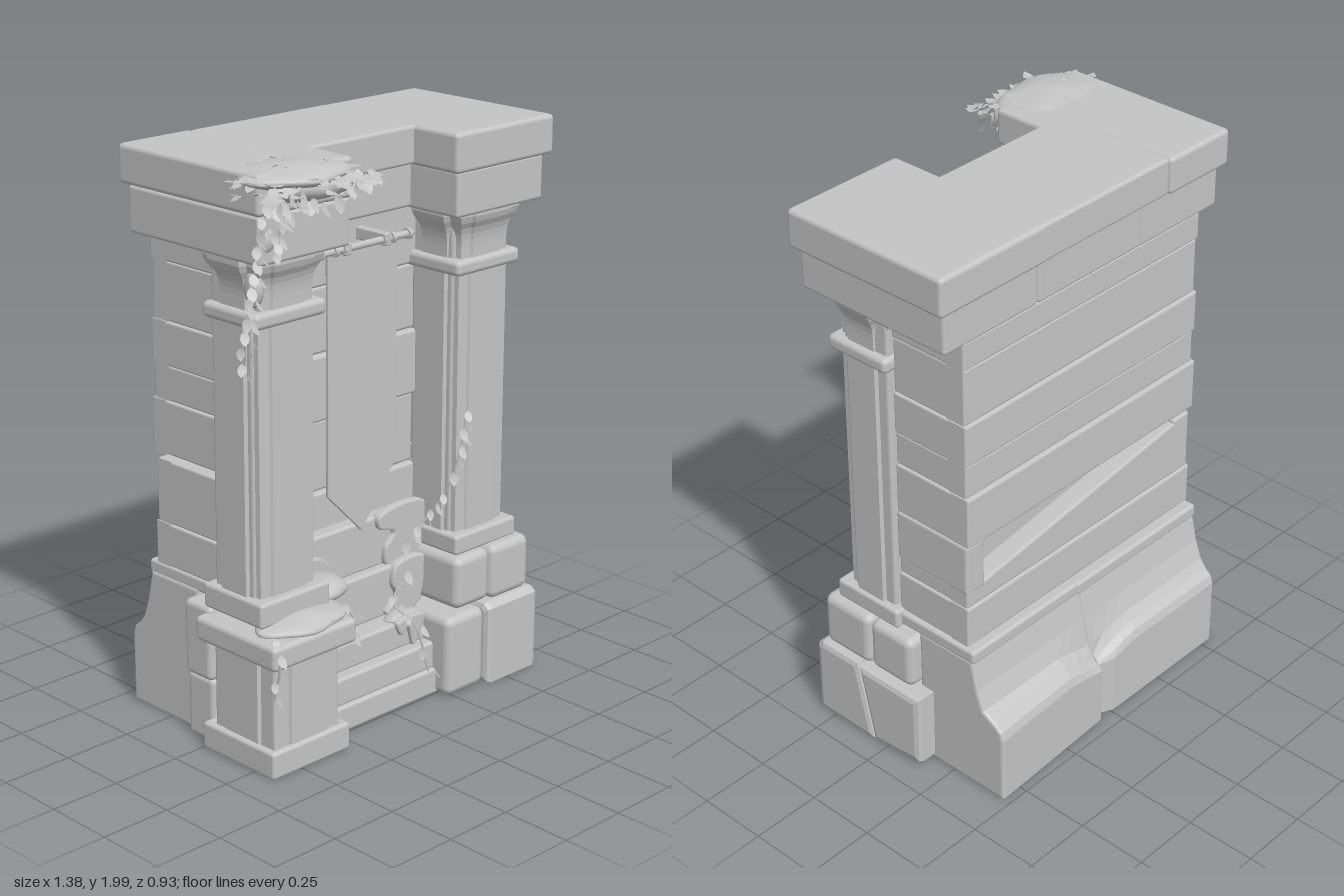
import * as THREE from 'three';
import { mergeGeometries } from 'three/addons/utils/BufferGeometryUtils.js';
import { RoundedBoxGeometry } from 'three/addons/geometries/RoundedBoxGeometry.js';

const stone = new THREE.MeshStandardMaterial({ color: 0xc4c4c4, side: THREE.DoubleSide });
stone.name = 'greyStone';

let seed = 7;
const rand = (a = 0, b = 1) => {
  seed = (seed * 16807) % 2147483647;
  return a + (b - a) * (seed / 2147483647);
};

export function createModel() {
  const root = new THREE.Group();
  root.name = 'ruinedShrine';

  const add = (name, geo) => {
    const m = new THREE.Mesh(geo, stone);
    m.name = name;
    root.add(m);
    return m;
  };
  // Rounded block given by its limits on each axis
  const block = (name, x0, x1, y0, y1, z0, z1, r = 0.012) => {
    const g = new RoundedBoxGeometry(x1 - x0, y1 - y0, z1 - z0, 3, r);
    return add(name, g.translate((x0 + x1) / 2, (y0 + y1) / 2, (z0 + z1) / 2));
  };
  // Bevelled extrusion of an outline; the bevel stays inside the outline
  const extrude = (pts, depth, b = 0.008, steps = 1) => {
    const shape = new THREE.Shape(pts.map(p => new THREE.Vector2(...p)));
    const g = new THREE.ExtrudeGeometry(shape, {
      depth: depth - 2 * b, steps, bevelEnabled: b > 0, bevelSize: b, bevelOffset: -b, bevelThickness: b, bevelSegments: 2,
    });
    return g.translate(0, 0, b);
  };
  // Move every vertex of a geometry by a rule on its position
  const bend = (g, rule) => {
    const p = g.attributes.position, v = new THREE.Vector3();
    for (let i = 0; i < p.count; i++) {
      rule(v.fromBufferAttribute(p, i));
      p.setXYZ(i, v.x, v.y, v.z);
    }
    g.computeVertexNormals();
    return g;
  };

  // Cornice: upper and lower courses, recessed in the middle
  block('corniceTopLeft', -0.64, -0.345, 1.85, 1.98, -0.345, 0.31, 0.016);
  block('corniceTopLeftFront', -0.36, -0.24, 1.85, 1.98, 0.05, 0.31, 0.016);
  block('corniceTopMiddle', -0.35, 0.25, 1.85, 1.98, -0.335, 0.12);
  block('corniceTopRight', 0.22, 0.69, 1.845, 1.98, -0.335, 0.315, 0.016);
  block('corniceLowerLeft', -0.63, -0.245, 1.695, 1.85, -0.31, 0.3);
  block('corniceLowerMiddle', -0.25, 0.245, 1.7, 1.852, -0.315, 0.09);
  block('corniceLowerRight', 0.24, 0.655, 1.695, 1.85, -0.31, 0.3);

  // Back wall courses: lower y, upper y at the left end, upper y at the right end;
  // the second one is broken to a slope, which leaves a wedge-shaped gap
  const courses = [
    [0.55, 0.70, 0.70], [0.70, 0.76, 0.92], [0.945, 1.13, 1.13], [1.13, 1.25, 1.25],
    [1.25, 1.40, 1.40], [1.40, 1.6, 1.6], [1.6, 1.7, 1.7],
  ];
  courses.forEach(([y, topL, topR], i) => {
    const out = [0.31, 0.304, 0.316, 0.304, 0.31, 0.302, 0.306][i];
    const xl = 0.57 - (i % 2) * 0.005, xr = -0.55 + (i % 2) * 0.005;
    add('backPlank', extrude([[xr, y], [xl, y], [xl, topL], [xr, topR]], 0.08).translate(0, 0, -out));
    block('wallSideLeft', xl - 0.08, xl, y, topL, -out, 0, 0.008);
    block('wallSideRight', xr, xr + 0.08, y, topR, -out, 0, 0.008);
  });
  block('gapStone', 0.49, 0.575, 0.76, 0.95, -0.312, 0);

  // Front wall stones in the niche
  [0.62, 0.77, 1.02, 1.25, 1.48, 1.7].forEach((y, i, ys) => {
    if (i) block('nicheStone', -0.34, 0.34, ys[i - 1], y, -0.1, [0, 0.025, 0.01, 0.03, 0.015, 0.025][i]);
  });

  // Sloping back base in two halves, worn down where they meet, with a ledge above
  const clamp01 = t => THREE.MathUtils.clamp(t, 0, 1);
  const base = (x0, x1, z) => add('backBase', bend(extrude([
    [-0.1, 0], [z, 0], [z, 0.25], [z + 0.01, 0.28], [z + 0.035, 0.3], [-0.385, 0.33], [-0.36, 0.4], [-0.335, 0.51], [-0.1, 0.51],
  ], x1 - x0, 0.01, 10).rotateY(-Math.PI / 2).translate(x1, 0, 0), v => {
    const worn = clamp01(1 - Math.abs(v.x - 0.05) / 0.16) * clamp01(1 - Math.abs(v.y - 0.29) / 0.1);
    const outer = clamp01((-0.385 - v.z) / 0.04);
    if (v.x > 0.045) v.z += (0.585 - v.x) * 0.05 * outer;
    if (v.z < -0.3) v.y -= 0.06 * worn;
  }));
  base(-0.555, 0.055, -0.443);
  base(0.05, 0.585, -0.473);
  block('backLedge', -0.55, 0.08, 0.5, 0.55, -0.35, 0);
  block('backLedge', 0.07, 0.585, 0.5, 0.55, -0.345, 0);

  // Front steps, hollow behind
  block('lowerStep', -0.3, 0.24, 0, 0.095, 0.14, 0.25);
  block('lowerStep', -0.3, 0.24, 0.09, 0.19, 0.12, 0.235);
  block('middleStep', -0.31, 0.3, 0.185, 0.285, 0.07, 0.19);
  block('upperStep', -0.31, 0.3, 0.28, 0.46, 0.01, 0.11);
  block('sill', -0.32, 0.32, 0.455, 0.64, -0.05, 0.075);

  // Columns: chamfered plan with raised front panel, rings and flared capital
  const plan = (w, d) => {
    const q = [[w, d * 0.5], [w * 0.86, d * 0.56], [w * 0.84, d * 0.9], [w * 0.54, d * 0.93], [w * 0.5, d]];
    const top = [...q, ...q.map(([x, y]) => [-x, y]).reverse()];
    return [...top, ...top.map(([x, y]) => [-x, -y])];
  };
  const upright = (name, x, z, w, d, y0, y1, steps = 1) =>
    add(name, extrude(plan(w, d), y1 - y0, steps > 1 ? 0 : 0.004, steps).rotateX(-Math.PI / 2).translate(x, y0, z));
  for (const x of [-0.447, 0.455]) {
    upright('columnShaft', x, 0.115, 0.138, 0.115, 0.55, 1.48);
    block('columnCore', x - 0.125, x + 0.125, 0.55, 1.69, 0.01, 0.2);
    block('columnBase', x - 0.152, x + 0.152, 0.49, x < 0 ? 0.575 : 0.56, -0.02, 0.26);
    block('columnRing', x - 0.153, x + 0.153, 1.475, 1.528, -0.005, 0.25, 0.018);
    const cap = upright('capital', 0, 0, 0.14, 0.12, 0, 0.17, 8);
    bend(cap.geometry, v => {
      const s = 0.94 + 0.26 * Math.pow(Math.min(1, v.y / 0.136), 4);
      v.x *= s;
      v.z *= s;
    });
    cap.position.set(x, 1.526, 0.12);
  }

  // Left pedestal on a foot that is open underneath
  block('pedestalFoot', -0.63, -0.285, 0, 0.095, 0.315, 0.345);
  block('pedestalFoot', -0.63, -0.285, 0, 0.095, 0, 0.03);
  block('pedestalFoot', -0.63, -0.6, 0, 0.095, 0, 0.345);
  block('pedestalFoot', -0.315, -0.285, 0, 0.095, 0, 0.345);
  upright('pedestal', -0.457, 0.17, 0.155, 0.16, 0.07, 0.395);
  block('pedestalCore', -0.6, -0.315, 0.07, 0.4, 0.03, 0.32);
  block('pedestalTop', -0.64, -0.272, 0.385, 0.47, -0.02, 0.365, 0.018);
  block('pedestalBackStone', -0.59, -0.42, 0, 0.23, -0.12, 0.01, 0.02);
  block('pedestalBackStone', -0.6, -0.42, 0.225, 0.49, -0.12, 0.01, 0.02);

  // Right rough stones, the lower side pair split by a slanting joint
  const sideStone = pts => add('roughStone', extrude(pts, 0.26, 0.022).rotateY(-Math.PI / 2).translate(0.662, 0, 0));
  sideStone([[0.325, 0], [0.325, 0.28], [0.3, 0.3], [0.125, 0.3], [0.055, 0]]);
  sideStone([[0.06, 0], [0.125, 0.29], [-0.16, 0.29], [-0.16, 0.02]]);
  block('roughStone', 0.22, 0.405, 0, 0.29, 0.06, 0.31, 0.03);
  block('roughStone', 0.28, 0.45, 0.3, 0.49, 0.05, 0.29, 0.03);
  block('roughStone', 0.445, 0.64, 0.295, 0.495, 0.085, 0.3, 0.03);
  block('roughStone', 0.4, 0.635, 0.295, 0.49, -0.105, 0.088, 0.03);

  // Banner with its rod
  const cloth = extrude([[-0.185, 1.63], [-0.185, 0.8], [-0.03, 0.645], [0.05, 0.755], [0.13, 0.86], [0.13, 1.63]], 0.012, 0.002);
  add('banner', cloth.translate(0, 0, 0.125));
  const rod = (r, x0, x1, r2 = r) => add('bannerRod',
    new THREE.CylinderGeometry(r, r2, x1 - x0, 12).rotateZ(-Math.PI / 2).translate((x0 + x1) / 2, 1.632, 0.143));
  rod(0.012, -0.235, 0.18);
  rod(0.002, 0.18, 0.207, 0.018);
  rod(0.018, -0.262, -0.235, 0.002);
  for (const x of [-0.235, -0.17, -0.13, 0.05, 0.09, 0.165]) rod(0.019, x, x + 0.014);
  for (const x of [-0.115, 0.065]) block('rodBracket', x - 0.015, x + 0.015, 1.612, 1.655, 0.01, 0.16, 0.006);

  // Ivy mounds: lumpy flattened spheres
  const mound = (x, y, z, rx, ry, rz) => {
    const g = bend(new THREE.SphereGeometry(1, 28, 16), v => {
      v.multiplyScalar(1 + 0.06 * Math.sin(5 * v.x + 2 * v.y + x * 7) * Math.cos(4 * v.z + x * 9));
      v.set(v.x * rx, v.y * ry, v.z * rz);
    });
    add('ivyMound', g.translate(x, y, z));
  };
  mound(-0.45, 1.955, 0.26, 0.205, 0.036, 0.15);
  mound(-0.42, 1.925, 0.32, 0.17, 0.05, 0.07);
  mound(-0.59, 1.77, 0.26, 0.04, 0.06, 0.05);
  mound(-0.57, 1.6, 0.21, 0.025, 0.06, 0.035);
  mound(-0.42, 0.475, 0.25, 0.18, 0.035, 0.11);
  mound(-0.26, 0.5, 0.14, 0.12, 0.045, 0.1);

  // Ivy sheets: soft outlines lying flat against the step fronts
  const sheet = (z, thick, pts) => {
    const curve = new THREE.CatmullRomCurve3(pts.map(([x, y]) => new THREE.Vector3(x, y, 0)), true);
    add('ivySheet', extrude(curve.getPoints(36).map(p => [p.x, p.y]), thick, 0.008).translate(0, 0, z));
  };
  sheet(0.06, 0.035, [[0.1, 0.645], [0.1, 0.6], [0.17, 0.57], [0.13, 0.52], [0.14, 0.45], [0.31, 0.45], [0.33, 0.645]]);
  sheet(0.095, 0.035, [[0.15, 0.465], [0.13, 0.4], [0.15, 0.35], [0.1, 0.3], [0.13, 0.28], [0.25, 0.29], [0.29, 0.4], [0.29, 0.465]]);
  sheet(0.175, 0.03, [[0.08, 0.29], [0.1, 0.24], [0.13, 0.26], [0.16, 0.18], [0.19, 0.24], [0.22, 0.29]]);
  sheet(0.05, 0.045, [[-0.27, 0.56], [-0.19, 0.575], [-0.13, 0.53], [-0.13, 0.47], [-0.19, 0.43], [-0.26, 0.45]]);
  mound(0.15, 0.285, 0.155, 0.08, 0.02, 0.045);

  // Leaves: one pointed outline, copied with a heading and a droop
  const leaves = [];
  const leafShape = new THREE.Shape();
  leafShape.moveTo(0, 0);
  leafShape.quadraticCurveTo(0.036, 0.025, 0, 0.056);
  leafShape.quadraticCurveTo(-0.036, 0.025, 0, 0);
  const leaf = (x, y, z, heading, droop, s = 1) => {
    const g = bend(new THREE.ShapeGeometry(leafShape, 4), v => { v.z = Math.abs(v.x) * 0.4; });
    leaves.push(g.scale(s, s, s).rotateX(Math.PI / 2 + droop).rotateY(heading).translate(x, y, z));
  };
  for (let i = 0; i < 75; i++) {
    const a = rand(-0.5, Math.PI + 0.6), k = rand(0.75, 1);
    leaf(-0.45 + Math.cos(a) * 0.19 * k, rand(1.92, 1.975), 0.26 + Math.sin(a) * 0.14 * k,
      Math.PI / 2 - a + rand(-0.7, 0.7), rand(-0.2, 0.8));
  }
  for (let i = 0; i < 28; i++) leaf(rand(-0.62, -0.24), rand(1.86, 1.94), rand(0.32, 0.39), rand(-0.8, 0.8), rand(0.9, 1.5));
  for (let i = 0; i < 14; i++) leaf(-0.3 + rand(-0.06, 0.06), rand(1.92, 1.96), rand(0.36, 0.41), rand(-0.6, 0.8), rand(0.1, 0.7));
  for (let i = 0; i < 14; i++) leaf(rand(-0.58, -0.32), 1.988, rand(0.16, 0.32), rand(-3, 3), rand(-0.1, 0.15));

  // Hanging and climbing vines with leaves along them
  const vine = (pts, n) => {
    const c = new THREE.CatmullRomCurve3(pts.map(p => new THREE.Vector3(...p)));
    add('vineStem', new THREE.TubeGeometry(c, 24, 0.004, 5));
    for (let i = 0; i < n; i++) {
      const v = c.getPoint(i / (n - 1)), side = i % 2 ? 1 : -1;
      leaf(v.x + side * rand(0, 0.025), v.y + 0.02, v.z + 0.008, side * rand(0.1, 1), rand(0.9, 1.5), rand(0.7, 1));
    }
  };
  vine([[-0.6, 1.88, 0.31], [-0.63, 1.74, 0.29], [-0.61, 1.6, 0.25], [-0.63, 1.5, 0.24], [-0.605, 1.33, 0.2]], 26);
  vine([[-0.55, 1.87, 0.34], [-0.57, 1.78, 0.32], [-0.56, 1.72, 0.31]], 9);
  vine([[0.37, 0.98, 0.235], [0.35, 0.88, 0.235], [0.32, 0.72, 0.2], [0.29, 0.6, 0.13], [0.22, 0.52, 0.11]], 15);
  vine([[0.2, 0.42, 0.135], [0.12, 0.34, 0.14], [0.15, 0.27, 0.215], [0.18, 0.1, 0.255]], 8);
  vine([[-0.6, 0.47, 0.33], [-0.62, 0.42, 0.37], [-0.615, 0.28, 0.335]], 6);
  vine([[-0.26, 0.49, 0.3], [-0.25, 0.44, 0.33], [-0.25, 0.38, 0.32]], 4);
  add('ivyLeaves', mergeGeometries(leaves));

  return root;
}
